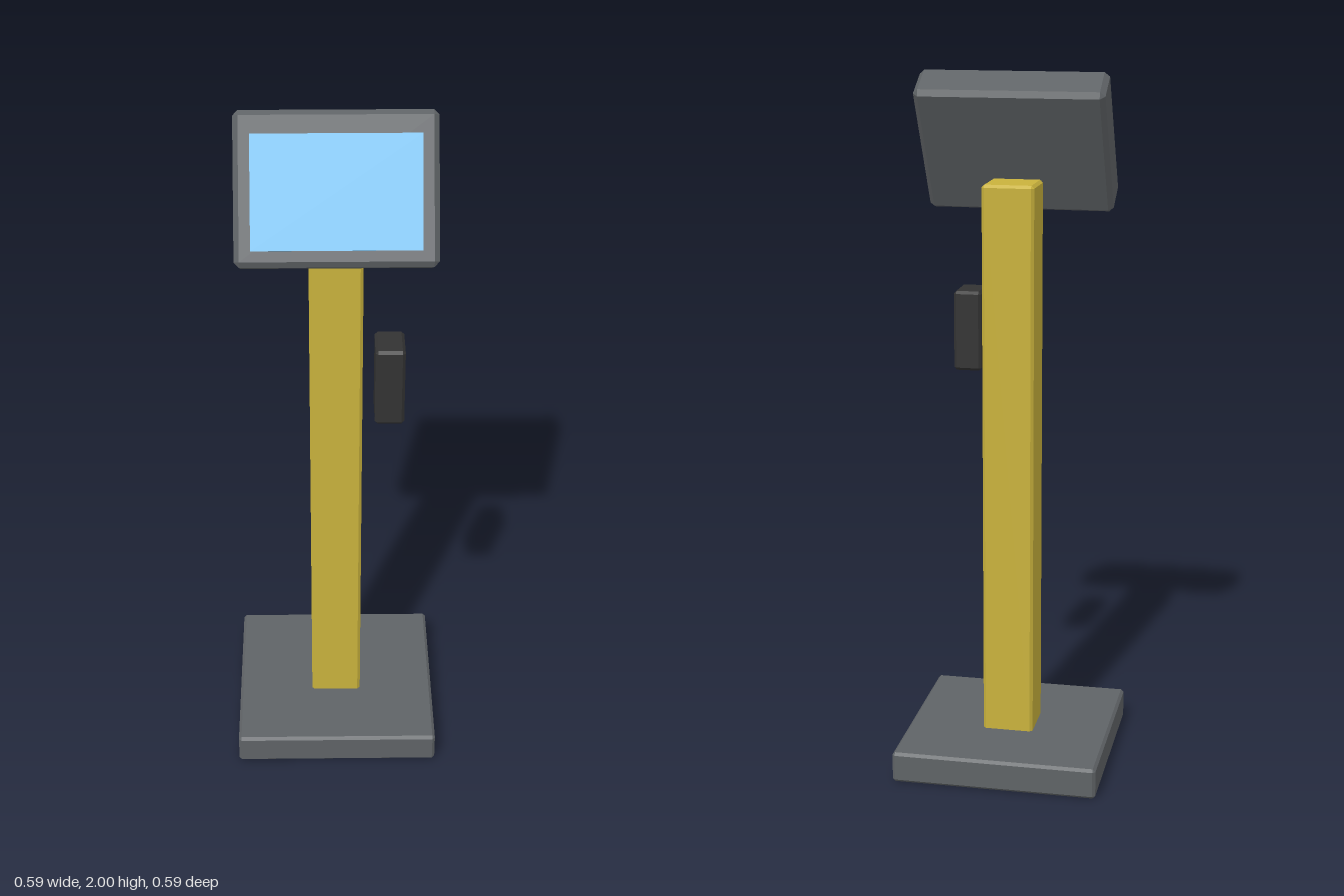
import * as THREE from 'three';
import { ConvexGeometry } from 'three/addons/geometries/ConvexGeometry.js';

// Box with every edge cut by a flat chamfer c
function chamferBox(w, h, d, c) {
  const half = [w / 2, h / 2, d / 2];
  const points = [];
  for (const sx of [-1, 1]) for (const sy of [-1, 1]) for (const sz of [-1, 1]) {
    for (let face = 0; face < 3; face++) {
      const [x, y, z] = half.map((v, axis) => (axis === face ? v : v - c));
      points.push(new THREE.Vector3(sx * x, sy * y, sz * z));
    }
  }
  return new ConvexGeometry(points);
}

function part(parent, name, geometry, color, x, y, z) {
  const material = new THREE.MeshStandardMaterial({ color, flatShading: true });
  const mesh = new THREE.Mesh(geometry, material);
  mesh.name = name;
  mesh.position.set(x, y, z);
  parent.add(mesh);
  return mesh;
}

export function createModel() {
  const model = new THREE.Group();
  model.name = 'kioskStand';
  const grey = 0x5f6366, gold = 0xc9b23c, black = 0x333333, blue = 0x7cc4f2;

  // Floor plate and post
  part(model, 'base', chamferBox(0.59, 0.09, 0.59, 0.008), grey, 0, 0.045, 0);
  part(model, 'post', chamferBox(0.147, 1.62, 0.147, 0.008), gold, 0, 0.888, 0);

  // Card reader beside the front of the post
  part(model, 'cardReader', chamferBox(0.081, 0.232, 0.117, 0.008), black, 0.145, 1.257, 0.12);

  // Head tilted back, with a thin screen held just off its front
  const head = new THREE.Group();
  head.name = 'head';
  head.position.set(0, 1.802, 0.074);
  head.rotation.x = -Math.PI / 6;
  model.add(head);
  part(head, 'housing', chamferBox(0.53, 0.402, 0.122, 0.014), grey, 0, 0, 0);
  part(head, 'screen', new THREE.BoxGeometry(0.442, 0.297, 0.011), blue, 0, -0.011, 0.08);

  return model;
}
